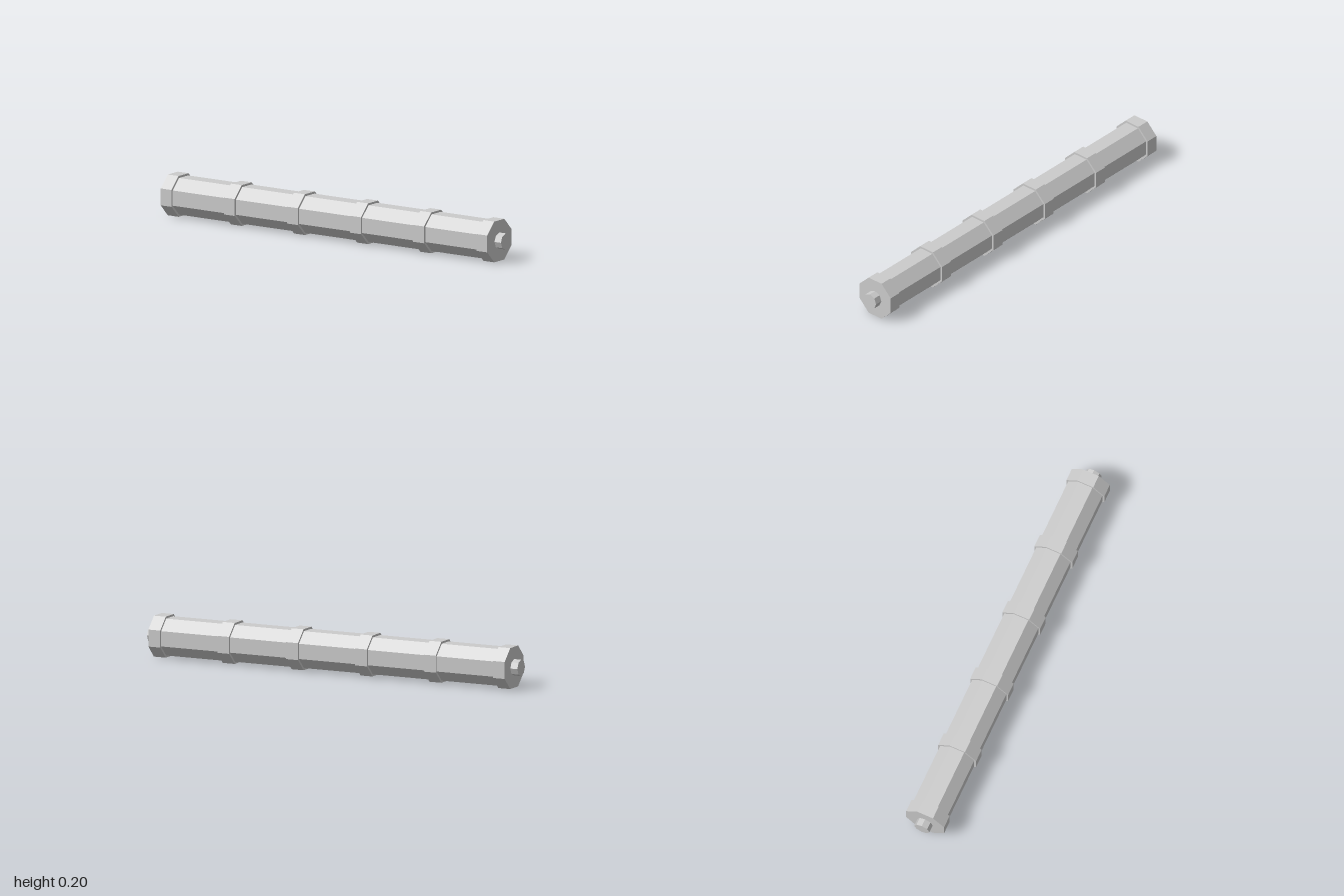
import * as THREE from 'three';

export function createModel() {
  const model = new THREE.Group();
  model.name = 'bandedRod';
  const grey = new THREE.MeshStandardMaterial({ color: 0xcccccc, flatShading: true });
  grey.name = 'light grey';

  // Eight-sided bar lying along z; turn rotates its corners about the axis
  function bar(name, radius, length, z, turn) {
    const geometry = new THREE.CylinderGeometry(radius, radius, length, 8, 1, false, turn);
    geometry.rotateX(Math.PI / 2);
    const mesh = new THREE.Mesh(geometry, grey);
    mesh.name = name;
    mesh.position.set(0, 0.1, z);
    model.add(mesh);
  }

  const flatUp = Math.PI / 8;
  const corner = 1 / Math.cos(flatUp); // flat-to-centre distance to corner radius

  // Main shaft
  bar('shaft', 0.09 * corner, 1.86, 0, flatUp);

  // Six evenly spaced bands
  for (let i = 0; i < 6; i++) {
    bar('band' + (i + 1), 0.1 * corner, 0.064, (i - 2.5) * 0.372, flatUp);
  }

  // End pins, with a corner pointing up
  for (const side of [1, -1]) {
    bar(side > 0 ? 'frontPin' : 'backPin', 0.04, 0.06, side * 0.97, 0);
  }

  return model;
}
